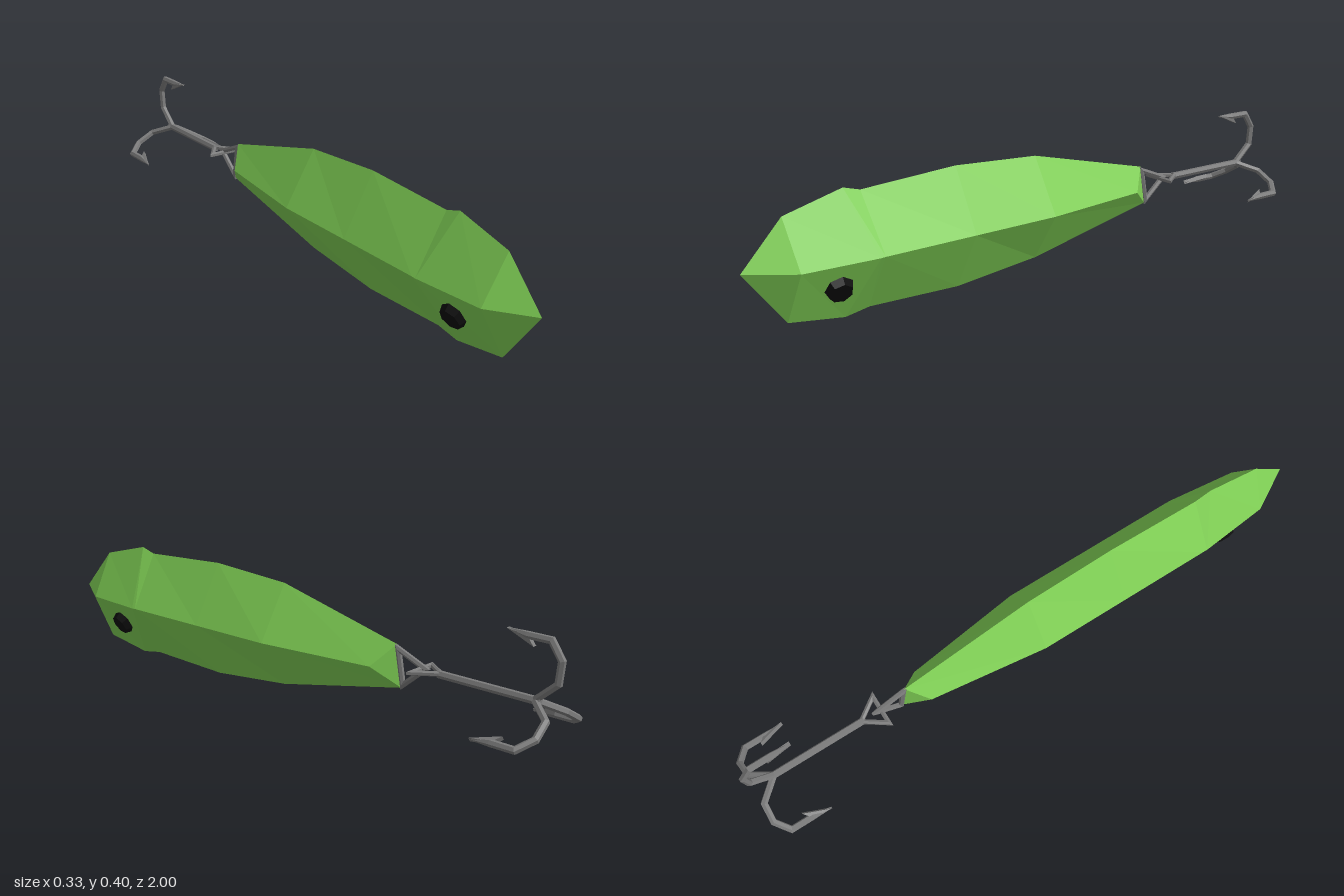
import * as THREE from 'three';

const mat = (name, color) => {
  const m = new THREE.MeshStandardMaterial({ color, flatShading: true });
  m.name = name;
  return m;
};

// Skin a list of rings (equal point counts) with flat quads, optionally capped or looped
function skin(rings, { closed = false, caps = true } = {}) {
  const pos = [];
  const tri = (...pts) => pts.forEach((p) => pos.push(p.x, p.y, p.z));
  const n = rings[0].length;
  const spans = closed ? rings.length : rings.length - 1;
  for (let i = 0; i < spans; i++) {
    const A = rings[i], B = rings[(i + 1) % rings.length];
    for (let j = 0; j < n; j++) {
      const k = (j + 1) % n;
      if (A[j].distanceTo(A[k]) > 1e-6) tri(A[j], A[k], B[k]);
      tri(A[j], B[k], B[j]);
    }
  }
  if (caps && !closed) {
    const S = rings[0], E = rings[rings.length - 1];
    for (let j = 1; j < n - 1; j++) {
      tri(S[0], S[j + 1], S[j]);
      tri(E[0], E[j], E[j + 1]);
    }
  }
  const g = new THREE.BufferGeometry();
  g.setAttribute('position', new THREE.Float32BufferAttribute(pos, 3));
  g.computeVertexNormals();
  return g;
}

// Bent wire with mitred corners along a flat path in the XY plane
function wire(path, radius, { closed = false, tip = 1, sides = 6 } = {}) {
  const P = path.map(([x, y]) => new THREE.Vector2(x, y));
  const N = P.length;
  const dir = (a, b) => P[(b + N) % N].clone().sub(P[(a + N) % N]).normalize();
  const rings = P.map((p, i) => {
    const first = i === 0 && !closed, last = i === N - 1 && !closed;
    const d1 = first ? dir(0, 1) : dir(i - 1, i);
    const d2 = last ? d1 : dir(i, i + 1);
    const d = d1.clone().add(d2).normalize();
    const miter = 1 / d.dot(d1);
    const r = last ? radius * tip : radius;
    return Array.from({ length: sides }, (_, j) => {
      const a = ((j + 0.5) / sides) * Math.PI * 2;
      const s = Math.cos(a) * r * miter;
      return new THREE.Vector3(p.x - d.y * s, p.y + d.x * s, Math.sin(a) * r);
    });
  });
  return skin(rings, { closed });
}

export function createModel() {
  const model = new THREE.Group();
  const green = mat('body green', 0x80d055);
  const black = mat('eye black', 0x0a0a0a);
  const steel = mat('hook grey', 0x7a7a7a);
  const add = (name, geo, material, parent = model) => {
    const m = new THREE.Mesh(geo, material);
    m.name = name;
    parent.add(m);
    return m;
  };

  // Diamond-section body: [top z, top y, side z, side y, half width, bottom z, bottom y]
  const sections = [
    [1, 0.195, 1, 0.195, 0, 1, 0.195],
    [0.87, 0.335, 0.86, 0.188, 0.08, 0.87, 0.025],
    [0.68, 0.385, 0.625, 0.193, 0.105, 0.69, 0.0],
    [0.625, 0.37, 0.61, 0.194, 0.105, 0.61, 0.014],
    [0.3, 0.39, 0.3, 0.197, 0.105, 0.3, 0.008],
    [0, 0.375, 0, 0.2, 0.105, 0, 0.04],
    [-0.45, 0.27, -0.39, 0.2, 0.053, -0.47, 0.14],
  ];
  const V = (x, y, z) => new THREE.Vector3(x, y, z);
  add('body', skin(sections.map(([tz, ty, sz, sy, w, bz, by]) => [
    V(0, ty, tz), V(w, sy, sz), V(0, by, bz), V(-w, sy, sz),
  ])), green);

  // Raised eyes on the lower cheeks
  for (const s of [1, -1]) {
    const eye = add(s > 0 ? 'leftEye' : 'rightEye',
      new THREE.CylinderGeometry(0.035, 0.047, 0.03, 7), black);
    eye.position.set(s * 0.06, 0.11, 0.735);
    eye.quaternion.setFromUnitVectors(V(0, 1, 0), V(s * 0.87, -0.47, 0.1).normalize());
  }

  // Upright tail loop; paths are (z, y)
  const upright = (g) => g.rotateY(-Math.PI / 2);
  add('tailLoop', upright(wire([[-0.455, 0.257], [-0.475, 0.15], [-0.555, 0.217]], 0.009,
    { closed: true })), steel);

  // Flat triangular split ring; path is (x, -z)
  const ring = add('splitRing', wire([[-0.05, 0.54], [0.05, 0.54], [0, 0.61]], 0.008,
    { closed: true }).rotateX(-Math.PI / 2), steel);
  ring.position.y = 0.215;

  // Treble hook: shank with three barbed prongs
  const hook = new THREE.Group();
  hook.name = 'trebleHook';
  hook.position.y = 0.213;
  model.add(hook);
  add('shank', upright(wire([[-0.6, 0], [-0.935, 0]], 0.012)), steel, hook);

  const prongGeo = upright(wire([[-0.915, 0], [-0.983, 0.06], [-0.989, 0.125],
    [-0.955, 0.175], [-0.88, 0.175], [-0.82, 0.182]], 0.011, { tip: 0.2 }));
  const barbShape = new THREE.Shape([[-0.82, 0.184], [-0.905, 0.148], [-0.885, 0.175]]
    .map(([x, y]) => new THREE.Vector2(x, y)));
  const barbGeo = upright(new THREE.ExtrudeGeometry(barbShape, { depth: 0.014, bevelEnabled: false })
    .translate(0, 0, -0.007));
  for (let i = 0; i < 3; i++) {
    const prong = new THREE.Group();
    prong.name = 'prong' + (i + 1);
    prong.rotation.z = (i * Math.PI * 2) / 3;
    hook.add(prong);
    add('bend', prongGeo, steel, prong);
    add('barb', barbGeo, steel, prong);
  }
  return model;
}
